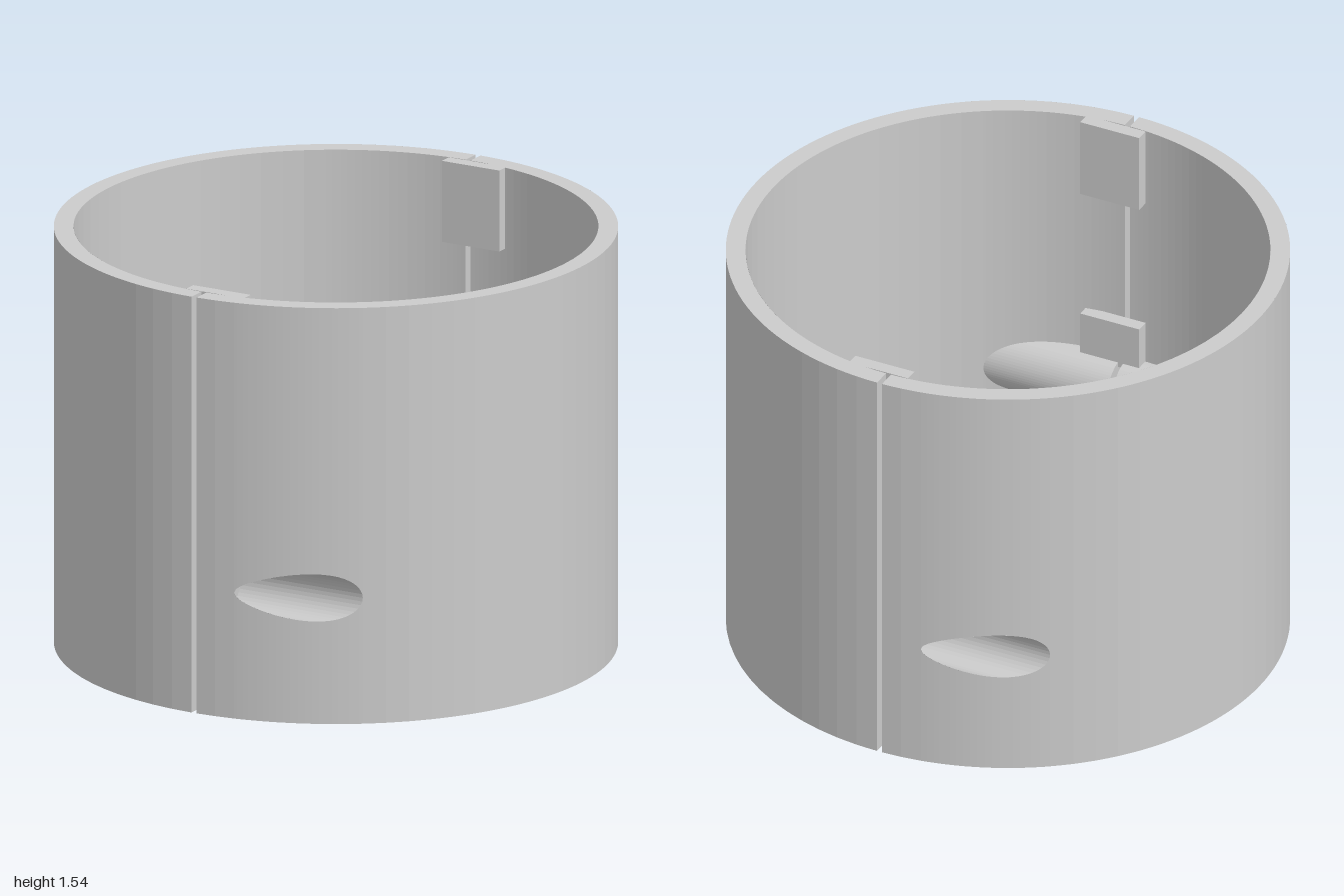
import * as THREE from 'three';
import { mergeGeometries } from 'three/addons/utils/BufferGeometryUtils.js';

const H = 1.54, OUT = 1, INN = 0.93;        // sleeve height and wall radii
const GAP = 0.01;                           // half the slit between the halves
const AXIS = 0.9, YC = 0.466;               // screw axis: distance from centre, height
const BOSS = 0.115, HEAD = 0.0875, SHAFT = 0.05, PILOT = 0.03;
const SHOULDER = 0.084, PILOT_END = 0.25;   // depths along the screw axis

// Surface from a rule f(u, v) -> [x, y, z], u given as a list of values
function grid(us, nv, f, flip = false) {
  const pos = [], idx = [];
  us.forEach(u => { for (let j = 0; j <= nv; j++) pos.push(...f(u, j / nv)); });
  for (let i = 0; i < us.length - 1; i++) for (let j = 0; j < nv; j++) {
    const a = i * (nv + 1) + j, b = a + nv + 1;
    if (flip) idx.push(a, b + 1, b, a, a + 1, b + 1);
    else idx.push(a, b, b + 1, a, b + 1, a + 1);
  }
  const g = new THREE.BufferGeometry();
  g.setAttribute('position', new THREE.Float32BufferAttribute(pos, 3));
  g.setIndex(idx);
  return g;
}

const range = (a, b, n) => Array.from({ length: n + 1 }, (_, i) => a + (b - a) * i / n);
const cosRange = (a, b, n) => range(0, Math.PI, n).map(t => a + (b - a) * (1 - Math.cos(t)) / 2);
const half = (r, d) => Math.sqrt(Math.max(0, r * r - d * d));
const circle = (r, s, n = 32) => range(0, 2 * Math.PI, n).slice(0, -1)
  .map(a => new THREE.Vector2(s * (AXIS + r * Math.cos(a)), YC + r * Math.sin(a)));

// Curved half wall, split into strips below and above an opening of half-height open(angle)
function wall(R, angles, open, flip) {
  const at = (p, y) => [R * Math.sin(p), y, R * Math.cos(p)];
  return [
    grid(angles, 1, (p, v) => at(p, v * (YC - open(p))), flip),
    grid(angles, 1, (p, v) => { const y0 = YC + open(p); return at(p, y0 + v * (H - y0)); }, flip),
  ];
}

// Round surface along the screw axis from x0 to end(n); s = 1 front joint, -1 back joint
function along(r, a0, a1, x0, end, s, outward) {
  return grid(range(a0, a1, 40), 1, (a, v) => {
    const n = AXIS + r * Math.cos(a);
    return [x0 + (end(n) - x0) * v, YC + r * Math.sin(a), s * n];
  }, outward === (s > 0));
}

// Flat joint face with the boss outline and a bore
function jointFace(s, bore) {
  const a = Math.acos((INN - AXIS) / BOSS);
  const outline = [[OUT, 0], [OUT, H], [INN, H]].map(([n, y]) => new THREE.Vector2(s * n, y));
  range(a, 2 * Math.PI - a, 32).forEach(t => outline.push(
    new THREE.Vector2(s * (AXIS + BOSS * Math.cos(t)), YC + BOSS * Math.sin(t))));
  outline.push(new THREE.Vector2(s * INN, 0));
  const shape = new THREE.Shape(outline);
  shape.holes.push(new THREE.Path(circle(bore, s)));
  return new THREE.ShapeGeometry(shape).rotateY(-Math.PI / 2).translate(GAP, 0, 0);
}

function merge(list) {
  const g = mergeGeometries(list.map(q => {
    const p = q.index ? q.toNonIndexed() : q;
    p.deleteAttribute('uv');
    p.deleteAttribute('normal');
    return p;
  }));
  g.computeVertexNormals();
  return g;
}

const material = new THREE.MeshStandardMaterial({
  color: 0xcccccc, flatShading: true, side: THREE.DoubleSide,
});

function mesh(name, geometries) {
  const m = new THREE.Mesh(merge(geometries), material);
  m.name = name;
  return m;
}

function halfSleeve() {
  const g = new THREE.Group();
  const o0 = Math.asin(GAP / OUT), i0 = Math.asin(GAP / INN);

  // Outer wall with the slanting screw opening
  const h0 = Math.acos(AXIS + HEAD), h1 = Math.acos(AXIS - HEAD);
  const outer = [...range(o0, h0, 2), ...cosRange(h0, h1, 28).slice(1),
    ...range(h1, Math.PI - o0, 30).slice(1)];
  // Inner wall, open behind both bosses
  const b = Math.acos((AXIS - BOSS) / INN);
  const inner = [...cosRange(i0, b, 24), ...range(b, Math.PI - b, 24).slice(1),
    ...cosRange(Math.PI - b, Math.PI - i0, 24).slice(1)];
  const rim = (y, flip) => grid(range(0, 1, 72), 1, (u, v) => {
    const R = OUT + (INN - OUT) * v, p0 = Math.asin(GAP / R);
    const p = p0 + (Math.PI - 2 * p0) * u;
    return [R * Math.sin(p), y, R * Math.cos(p)];
  }, flip);
  g.add(mesh('wall', [
    ...wall(OUT, outer, p => half(HEAD, OUT * Math.cos(p) - AXIS), false),
    ...wall(INN, inner, p => half(BOSS, INN * Math.abs(Math.cos(p)) - AXIS), true),
    rim(H, false), rim(0, true),
  ]));

  // Screw bosses blending into the inner wall at both ends
  const a = Math.acos((INN - AXIS) / BOSS);
  for (const s of [1, -1]) {
    g.add(mesh(s > 0 ? 'headBoss' : 'threadBoss', [
      along(BOSS, a, 2 * Math.PI - a, GAP, n => Math.max(GAP, half(INN, n)), s, true),
      jointFace(s, s > 0 ? SHAFT : PILOT),
    ]));
  }

  // Counterbore, shoulder and clearance hole
  const full = 2 * Math.PI;
  g.add(mesh('screwHole', [
    along(HEAD, 0, full, SHOULDER, n => half(OUT, n), 1, false),
    along(SHAFT, 0, full, GAP, () => SHOULDER, 1, false),
    new THREE.RingGeometry(SHAFT, HEAD, 40).rotateY(Math.PI / 2).translate(SHOULDER, YC, AXIS),
  ]));
  // Blind pilot hole
  g.add(mesh('pilotHole', [
    along(PILOT, 0, full, GAP, () => PILOT_END, -1, false),
    new THREE.CircleGeometry(PILOT, 40).rotateY(-Math.PI / 2).translate(PILOT_END, YC, -AXIS),
  ]));
  return g;
}

export function createModel() {
  const model = new THREE.Group();
  model.name = 'splitSleeve';

  const right = halfSleeve(), left = halfSleeve();
  right.name = 'tabbedHalf';
  left.name = 'plainHalf';
  left.rotation.y = Math.PI;

  // Locating tabs overlapping both joints; the lower one leaves room for the screw
  for (const s of [1, -1]) {
    const tabs = [[1.24, H], [0.56, 0.74], [0, 0.37]].map(([y0, y1]) =>
      new THREE.BoxGeometry(0.235, y1 - y0, 0.05).translate(0.0425, (y0 + y1) / 2, s * AXIS));
    right.add(mesh(s > 0 ? 'frontTabs' : 'backTabs', tabs));
  }

  model.add(right, left);
  model.rotation.y = Math.PI / 8;
  return model;
}
